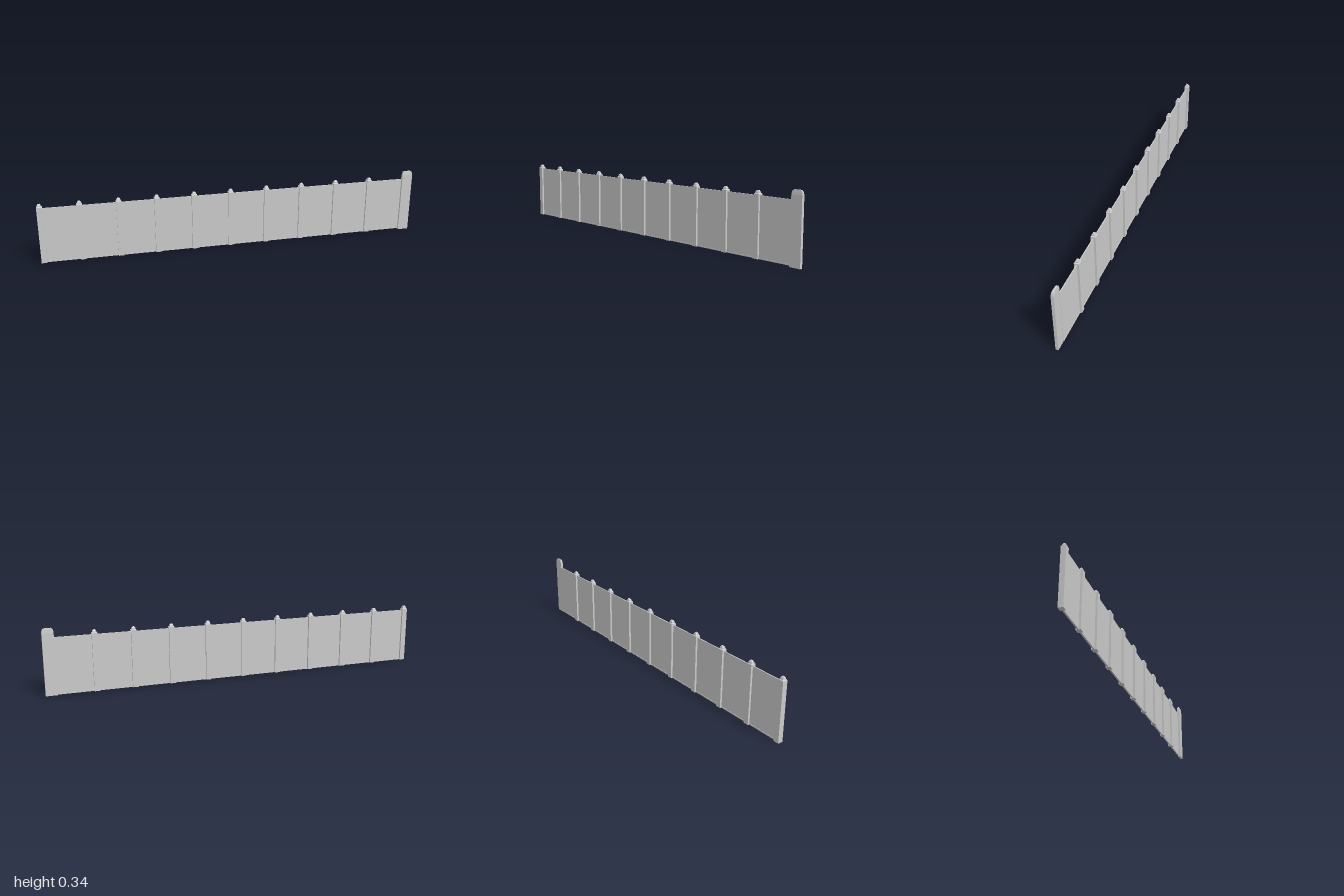
import * as THREE from 'three';

const material = new THREE.MeshStandardMaterial({ color: 0xcccccc, flatShading: true });

// Closed rectangular loft; each ring is [y, halfWidth, backZ, frontZ]
function loft(rings) {
  const pos = [], index = [];
  for (const [y, w, b, f] of rings) pos.push(-w, y, f, w, y, f, w, y, b, -w, y, b);
  for (let r = 0; r < rings.length - 1; r++) {
    for (let i = 0; i < 4; i++) {
      const a = r * 4 + i, c = r * 4 + ((i + 1) % 4);
      index.push(a, c, c + 4, a, c + 4, a + 4);
    }
  }
  const t = (rings.length - 1) * 4;
  index.push(0, 2, 1, 0, 3, 2, t, t + 1, t + 2, t, t + 2, t + 3);
  const indexed = new THREE.BufferGeometry();
  indexed.setAttribute('position', new THREE.Float32BufferAttribute(pos, 3));
  indexed.setIndex(index);
  const geometry = indexed.toNonIndexed();
  geometry.computeVertexNormals();
  return geometry;
}

export function createModel() {
  const group = new THREE.Group();
  const add = (name, geometry, x = 0, y = 0, z = 0) => {
    const mesh = new THREE.Mesh(geometry, material);
    mesh.name = name;
    mesh.position.set(x, y, z);
    group.add(mesh);
  };

  const count = 10, pitch = 0.193, first = -0.986;

  // Square posts with a shallow shoulder and a small tapered cap
  const post = loft([
    [0.004, 0.014, -0.0125, 0.0125],
    [0.300, 0.014, -0.0125, 0.0125],
    [0.303, 0.010, -0.009, 0.009],
    [0.309, 0.009, -0.008, 0.008],
    [0.316, 0.005, -0.004, 0.004],
  ]);

  for (let i = 0; i < count; i++) {
    const x = first + i * pitch;
    add('post', post, x);

    // Thin panel and low sill reaching to the next post
    const end = i < count - 1 ? x + pitch : 0.946;
    const width = end - x, mid = (x + end) / 2;
    add('panel', new THREE.BoxGeometry(width, 0.287, 0.005), mid, 0.1495, 0);
    add('sill', new THREE.BoxGeometry(width, 0.006, 0.008), mid, 0.007, 0);
  }

  // Broad end post with a softened, tapered top
  add('endPost', loft([
    [0, 0.0285, -0.001, 0.0135],
    [0.316, 0.0285, -0.001, 0.0135],
    [0.328, 0.0265, 0, 0.012],
    [0.334, 0.0235, 0.0005, 0.011],
    [0.338, 0.018, 0.001, 0.0105],
  ]), 0.9715);

  return group;
}
